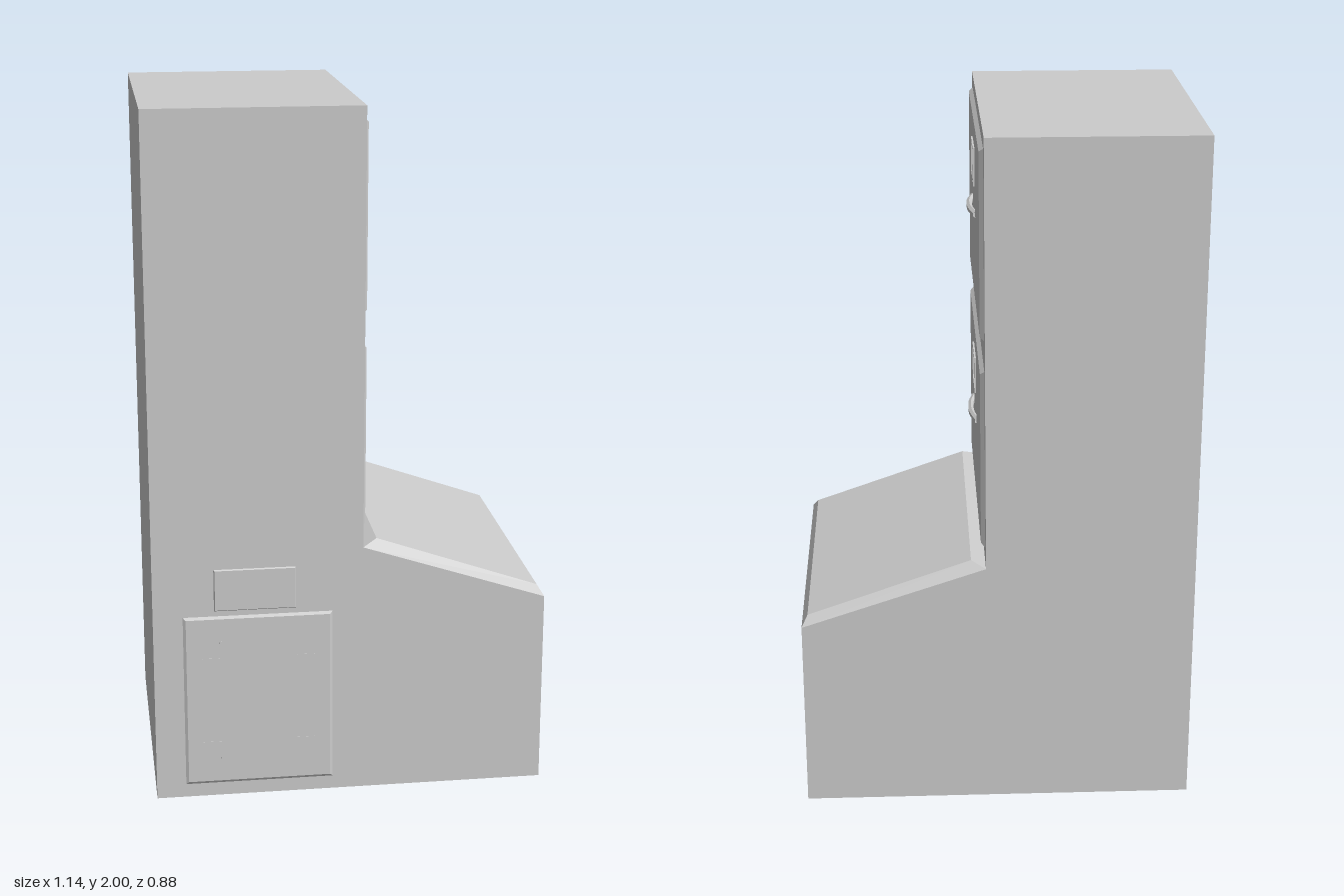
import * as THREE from 'three';

const material = new THREE.MeshStandardMaterial({ color: 0xcccccc, flatShading: true, side: THREE.DoubleSide });

function add(parent, name, geometry, x = 0, y = 0, z = 0) {
  const mesh = new THREE.Mesh(geometry, material);
  mesh.name = name;
  mesh.position.set(x, y, z);
  parent.add(mesh);
  return mesh;
}

// Slab facing +z from z = 0, its outer face inset to form sloped edges
function bevelPlate(w, h, depth, inset) {
  const geo = new THREE.BoxGeometry(w, h, depth).translate(0, 0, depth / 2);
  const p = geo.attributes.position;
  for (let i = 0; i < p.count; i++) {
    if (p.getZ(i) < depth / 2) continue;
    p.setX(i, p.getX(i) - Math.sign(p.getX(i)) * inset);
    p.setY(i, p.getY(i) - Math.sign(p.getY(i)) * inset);
  }
  geo.computeVertexNormals();
  return geo;
}

// Access plate with an L-shaped mark near each corner
function accessPlate(name, w, h, depth, inset, markX, markY, arm, thick) {
  const group = new THREE.Group();
  group.name = name;
  add(group, 'plate', bevelPlate(w, h, depth, inset));
  for (const sx of [-1, 1]) {
    for (const sy of [-1, 1]) {
      add(group, 'cornerMark', new THREE.BoxGeometry(arm, thick, 0.002), sx * (markX + arm / 2), sy * markY, depth);
      add(group, 'cornerMark', new THREE.BoxGeometry(thick, arm, 0.002), sx * markX, sy * (markY + arm / 2), depth);
    }
  }
  return group;
}

// Drawer front with label holder and bowed pull, facing local +z
function drawer(name, height) {
  const group = new THREE.Group();
  group.name = name;
  const face = 0.012;
  add(group, 'drawerFront', bevelPlate(0.79, height, face, 0.01));

  const frame = new THREE.Shape();
  frame.moveTo(-0.075, -0.055);
  frame.lineTo(0.075, -0.055);
  frame.lineTo(0.075, 0.055);
  frame.lineTo(-0.075, 0.055);
  const hole = new THREE.Path();
  hole.moveTo(-0.065, -0.045);
  hole.lineTo(-0.065, 0.045);
  hole.lineTo(0.065, 0.045);
  hole.lineTo(0.065, -0.045);
  frame.holes.push(hole);
  add(group, 'labelHolder', new THREE.ExtrudeGeometry(frame, { depth: 0.005, bevelEnabled: false }), 0, 0.14, face);

  const curve = new THREE.CatmullRomCurve3([
    [-0.105, -0.002], [-0.085, 0.003], [-0.04, 0.013], [0.04, 0.013], [0.085, 0.003], [0.105, -0.002],
  ].map(([x, z]) => new THREE.Vector3(x, 0, z)));
  const pull = new THREE.TubeGeometry(curve, 16, 0.01, 6).scale(1, 1, 0.9);
  add(group, 'pull', pull, 0, 0.01, face);
  return group;
}

export function createModel() {
  const model = new THREE.Group();
  model.name = 'filingCabinet';

  // Cabinet: tall tower with a low projecting base
  const side = new THREE.Shape([
    [-0.57, 0], [0.565, 0], [0.565, 0.572], [0.033, 0.748], [0.038, 2], [-0.57, 2],
  ].map(([x, y]) => new THREE.Vector2(x, y)));
  add(model, 'cabinetBody', new THREE.ExtrudeGeometry(side, { depth: 0.875, bevelEnabled: false }), 0, 0, -0.44);

  // Sloping lid with chamfered edges
  const lid = new THREE.BoxGeometry(1, 1, 1);
  const p = lid.attributes.position;
  for (let i = 0; i < p.count; i++) {
    const outer = p.getX(i) > 0, top = p.getY(i) > 0, front = p.getZ(i) > 0;
    if (top) p.setXYZ(i, outer ? 0.548 : 0.075, outer ? 0.6 : 0.765, front ? 0.408 : -0.413);
    else p.setXYZ(i, outer ? 0.565 : 0.033, outer ? 0.572 : 0.748, front ? 0.435 : -0.44);
  }
  lid.computeVertexNormals();
  add(model, 'slopingLid', lid);

  // Two drawers on the slightly leaning right face
  for (const [name, y, h] of [['upperDrawer', 1.69, 0.54], ['lowerDrawer', 1.063, 0.535]]) {
    const d = drawer(name, h);
    d.rotation.set(0, Math.PI / 2, 0);
    d.rotateX(0.004);
    d.position.set(0.033 + (y - 0.748) * 0.004, y, 0);
    model.add(d);
  }

  // Plates on the front and on the base end
  const large = accessPlate('largeAccessPlate', 0.43, 0.52, 0.005, 0.008, 0.108, 0.13, 0.055, 0.006);
  large.position.set(-0.27, 0.3, 0.435);
  model.add(large);
  add(model, 'smallPanel', bevelPlate(0.235, 0.125, 0.004, 0.003), -0.278, 0.638, 0.435);
  const end = accessPlate('endAccessPlate', 0.27, 0.195, 0.005, 0.003, 0.065, 0.05, 0.03, 0.006);
  end.rotation.y = Math.PI / 2;
  end.position.set(0.565, 0.133, 0.255);
  model.add(end);

  return model;
}
